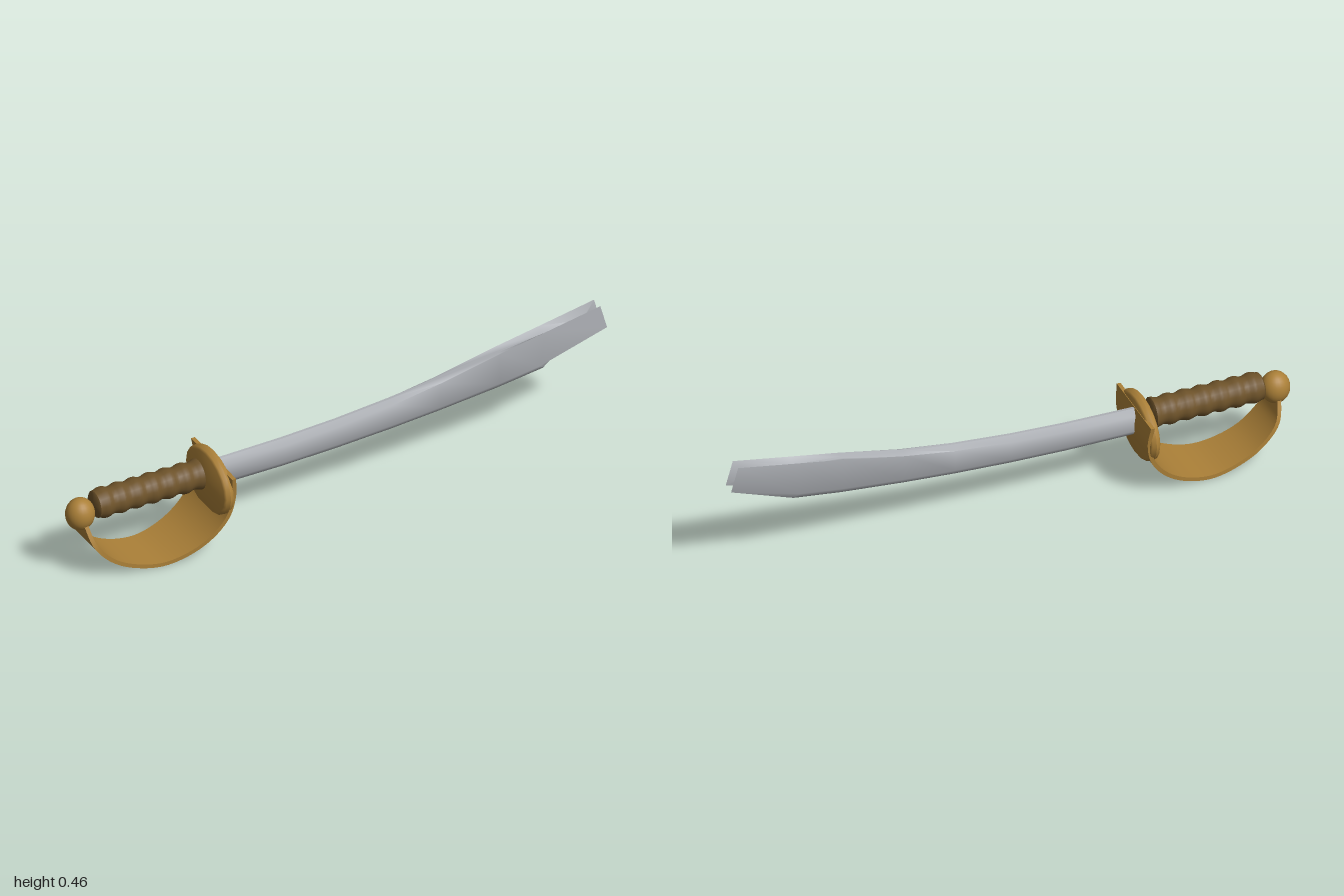
import * as THREE from 'three';
import { toCreasedNormals } from 'three/addons/utils/BufferGeometryUtils.js';

const gold = new THREE.MeshStandardMaterial({ color: 0xab8038, side: THREE.DoubleSide });
gold.name = 'brass';
const brown = new THREE.MeshStandardMaterial({ color: 0x6d5229 });
brown.name = 'grip brown';
const steel = new THREE.MeshStandardMaterial({ color: 0xb0b3b8, side: THREE.DoubleSide });
steel.name = 'steel';

// Skin a list of equal-length rings; caps are quads of ring indices
function loft(rings, caps, crease) {
  const n = rings[0].length;
  const pos = rings.flat(2);
  const index = [];
  for (let i = 0; i < rings.length - 1; i++) {
    for (let j = 0; j < n; j++) {
      const a = i * n + j, b = i * n + (j + 1) % n;
      index.push(a, b, b + n, a, b + n, a + n);
    }
  }
  const last = (rings.length - 1) * n;
  for (const [a, b, c, d] of caps) {
    index.push(last + a, last + b, last + c, last + a, last + c, last + d);
    index.push(c, b, a, d, c, a);
  }
  const geo = new THREE.BufferGeometry();
  geo.setAttribute('position', new THREE.Float32BufferAttribute(pos, 3));
  geo.setIndex(index);
  return toCreasedNormals(geo, crease);
}

// Lathe turned so that its axis runs along x; points are [radius, x]
function latheX(points, segments, crease) {
  const geo = new THREE.LatheGeometry(points.map(([r, x]) => new THREE.Vector2(r, x)), segments);
  geo.rotateZ(-Math.PI / 2);
  return crease ? toCreasedNormals(geo, crease) : geo;
}

function add(group, name, geo, material, x = 0, y = 0, z = 0) {
  const mesh = new THREE.Mesh(geo, material);
  mesh.name = name;
  mesh.position.set(x, y, z);
  group.add(mesh);
  return mesh;
}

// Curved blade: bevelled section whose side plates flare apart at the tip
function bladeGeometry() {
  // [edge: x, bottom y, x, top y], [side plate: x, bottom y, x, top y]
  const stations = [
    [[-0.46, 0.188, -0.46, 0.290], [-0.46, 0.211, -0.46, 0.268]],
    [[-0.20, 0.190, -0.20, 0.296], [-0.20, 0.213, -0.20, 0.275]],
    [[0.00, 0.197, 0.00, 0.307], [0.00, 0.220, 0.00, 0.288]],
    [[0.20, 0.209, 0.20, 0.326], [0.20, 0.232, 0.20, 0.310]],
    [[0.38, 0.224, 0.38, 0.349], [0.38, 0.247, 0.38, 0.340]],
    [[0.60, 0.247, 0.60, 0.382], [0.60, 0.271, 0.60, 0.387]],
    [[0.77, 0.271, 0.77, 0.397], [0.75, 0.293, 0.77, 0.419]],
    [[0.92, 0.390, 0.92, 0.405], [1.00, 0.368, 0.975, 0.458]],
  ];
  const m = 0.005, p = 0.022;
  const rings = stations.map(([[bx, by, tx, ty], [pbx, pby, ptx, pty]]) => [
    [tx, ty, m], [ptx, pty, p], [pbx, pby, p], [bx, by, m],
    [bx, by, -m], [pbx, pby, -p], [ptx, pty, -p], [tx, ty, -m],
  ]);
  return loft(rings, [[0, 1, 2, 3], [0, 3, 4, 7], [4, 5, 6, 7]], 1.0);
}

// Knuckle bow: a wide ribbon swept from the pommel round to the front of the guard
function bowGeometry() {
  // x, y, half width
  const path = new THREE.CatmullRomCurve3([
    [-0.95, 0.215, 0.035], [-0.928, 0.135, 0.07], [-0.86, 0.062, 0.08], [-0.77, 0.021, 0.088],
    [-0.68, 0.009, 0.097], [-0.58, 0.036, 0.108], [-0.51, 0.083, 0.117], [-0.463, 0.145, 0.124],
    [-0.446, 0.22, 0.13], [-0.453, 0.294, 0.142],
  ].map(v => new THREE.Vector3(...v)));
  const rings = [], half = 0.007, steps = 40;
  for (let i = 0; i <= steps; i++) {
    const c = path.getPoint(i / steps), t = path.getTangent(i / steps);
    const len = Math.hypot(t.x, t.y);
    const nx = -t.y / len * half, ny = t.x / len * half;
    rings.push([
      [c.x + nx, c.y + ny, -c.z], [c.x + nx, c.y + ny, c.z],
      [c.x - nx, c.y - ny, c.z], [c.x - nx, c.y - ny, -c.z],
    ]);
  }
  return loft(rings, [[0, 1, 2, 3]], 0.7);
}

export function createModel() {
  const sword = new THREE.Group();
  sword.name = 'sword';

  add(sword, 'blade', bladeGeometry(), steel);
  add(sword, 'knuckleBow', bowGeometry(), gold);

  // Oval guard plate with a rounded rim
  const guard = add(sword, 'guard', latheX([
    [0, -0.018], [0.9, -0.018], [0.97, -0.013], [1, 0], [0.97, 0.013], [0.9, 0.018], [0, 0.018],
  ], 20, 0.7), gold, -0.466, 0.217, 0);
  guard.scale.set(1, 0.113, 0.145);

  // Grip with finger ridges
  const profile = [[0, -0.9], [0.04, -0.9]];
  const steps = 48, ridges = 6.5;
  for (let i = 0; i <= steps; i++) {
    const t = i / steps;
    profile.push([0.0495 - 0.0035 * Math.cos(t * ridges * Math.PI * 2), -0.895 + t * 0.385]);
  }
  profile.push([0.045, -0.505], [0, -0.505]);
  add(sword, 'grip', latheX(profile, 24, 0.7), brown, 0, 0.252, 0);

  // Pommel ball
  const pommel = add(sword, 'pommel', new THREE.SphereGeometry(1, 24, 16), gold, -0.95, 0.233, 0);
  pommel.scale.set(0.05, 0.057, 0.048);

  return sword;
}
